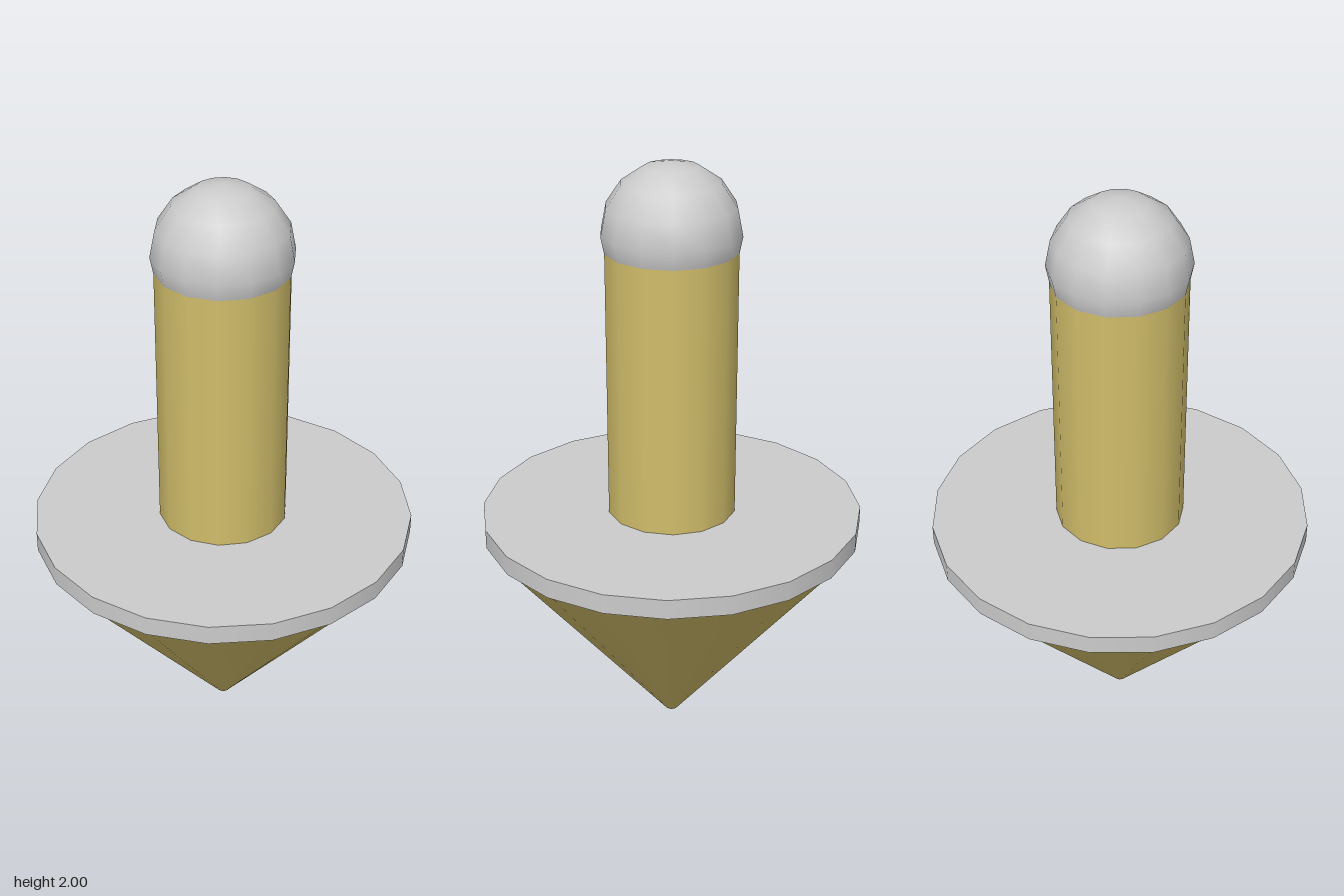
import * as THREE from 'three';

export function createModel() {
  const group = new THREE.Group();
  const grey = new THREE.MeshStandardMaterial({ color: 0xcccccc });
  const yellow = new THREE.MeshStandardMaterial({ color: 0xd0bd6a });

  const add = (name, geometry, material, y) => {
    const mesh = new THREE.Mesh(geometry, material);
    mesh.name = name;
    mesh.position.y = y;
    group.add(mesh);
    return mesh;
  };

  // Blunt-tipped cone pointing down
  add('coneTip', new THREE.CylinderGeometry(0.63, 0.022, 0.75, 20), yellow, 0.375);

  // Thin flange over the cone
  add('flange', new THREE.CylinderGeometry(0.64, 0.64, 0.066, 20), grey, 0.781);

  // Handle shaft, running up into the knob
  add('shaft', new THREE.CylinderGeometry(0.217, 0.217, 0.96, 14), yellow, 1.26);

  // Round knob, turned so its corners line up with the shaft's
  add('knob', new THREE.SphereGeometry(0.228, 14, 8), grey, 1.772).rotation.y = Math.PI / 2;

  return group;
}
